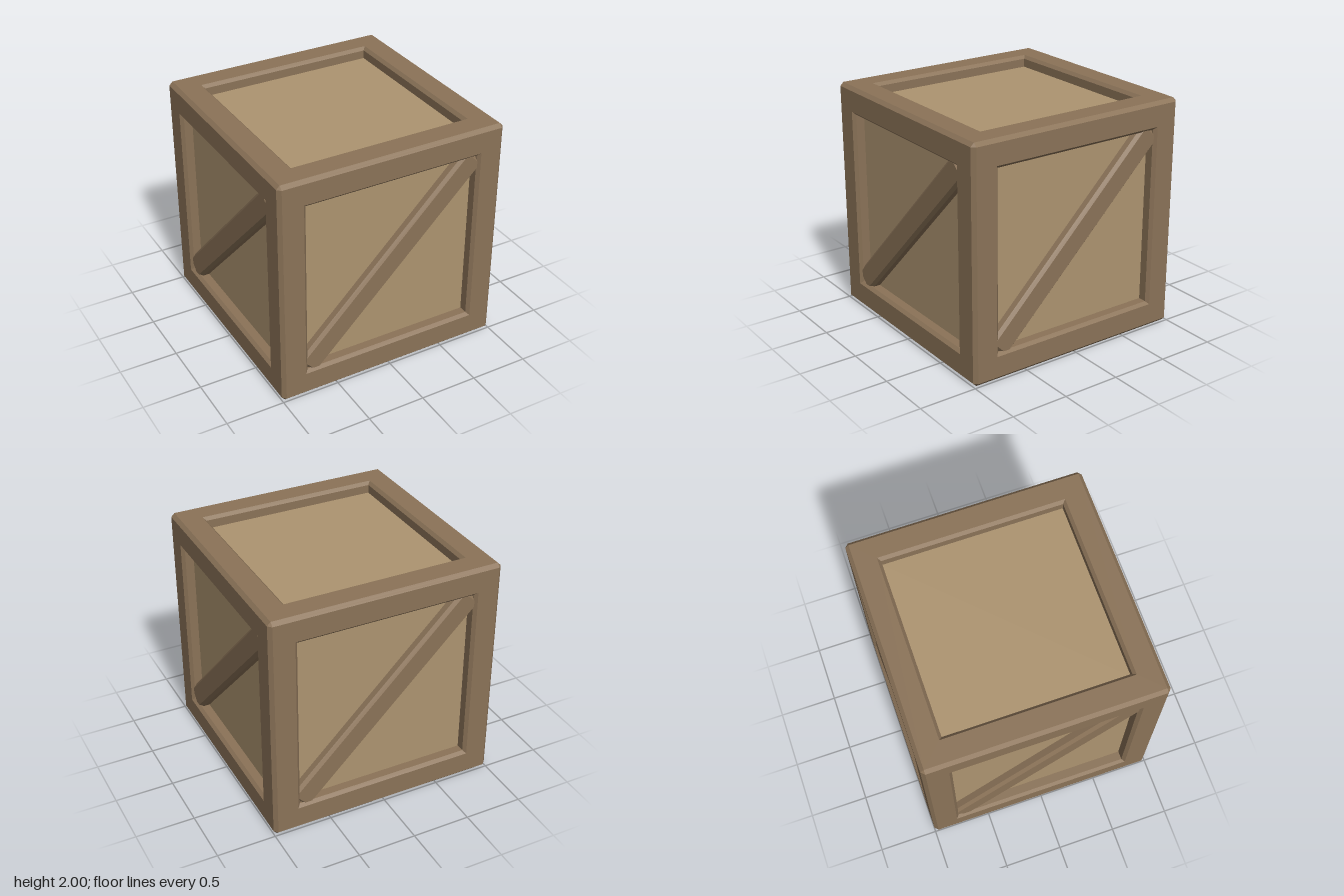
import * as THREE from 'three';

const frameWood = new THREE.MeshStandardMaterial({ name: 'frameWood', color: 0x8b7358 });
const panelWood = new THREE.MeshStandardMaterial({ name: 'panelWood', color: 0xad9470 });

// One face of the frame: a chamfered square ring, mitred at its corners
function frameSideGeometry() {
  // [half length, half height, depth] from the outer edge inwards
  const rows = [
    [0.97, 0.985, 0.985],
    [0.97, 0.97, 1],
    [0.79, 0.79, 1],
    [0.765, 0.765, 0.973],
    [0.765, 0.765, 0.89],
  ];
  const points = [];
  const quad = (a, b, c, d) => points.push(...[a, b, c, a, c, d].map((p) => new THREE.Vector3(...p)));
  for (let i = 0; i < rows.length - 1; i++) {
    const [la, ha, za] = rows[i];
    const [lb, hb, zb] = rows[i + 1];
    quad([-la, ha, za], [-lb, hb, zb], [lb, hb, zb], [la, ha, za]);
  }
  // this face's share of the cut corner
  quad([0.97, 0.97, 1], [0.985, 0.97, 0.985], [0.98, 0.98, 0.98], [0.97, 0.985, 0.985]);

  // repeat the rail around the square
  const axis = new THREE.Vector3(0, 0, 1);
  const all = [];
  for (let k = 0; k < 4; k++) {
    all.push(...points.map((p) => p.clone().applyAxisAngle(axis, (k * Math.PI) / 2)));
  }
  const geometry = new THREE.BufferGeometry().setFromPoints(all);
  geometry.computeVertexNormals();
  return geometry;
}

// Diagonal plank with chamfered edges, its front face at z = 0.98
function braceGeometry() {
  const l = 1.05, w = 0.08, bevel = 0.026, depth = 0.07;
  const shape = new THREE.Shape();
  shape.moveTo(-l, -w);
  shape.lineTo(l, -w);
  shape.lineTo(l, w);
  shape.lineTo(-l, w);
  shape.closePath();
  const geometry = new THREE.ExtrudeGeometry(shape, {
    depth, bevelEnabled: true, bevelSegments: 1, bevelSize: bevel, bevelThickness: bevel,
  });
  geometry.translate(0, 0, 0.98 - depth - bevel);
  geometry.rotateZ(Math.PI / 4);
  return geometry;
}

export function createModel() {
  const crate = new THREE.Group();
  crate.name = 'crate';

  const add = (name, geometry, material, rx = 0, ry = 0) => {
    const mesh = new THREE.Mesh(geometry, material);
    mesh.name = name;
    mesh.rotation.set(rx, ry, 0);
    mesh.position.y = 1;
    crate.add(mesh);
  };

  // recessed panels
  add('panels', new THREE.BoxGeometry(1.8, 1.8, 1.8), panelWood);

  // four walls, each with a brace
  const side = frameSideGeometry();
  const brace = braceGeometry();
  ['front', 'left', 'back', 'right'].forEach((name, i) => {
    add(name + 'Frame', side, frameWood, 0, (i * Math.PI) / 2);
    add(name + 'Brace', brace, frameWood, 0, (i * Math.PI) / 2);
  });

  // lid and base
  add('topFrame', side, frameWood, -Math.PI / 2);
  add('bottomFrame', side, frameWood, Math.PI / 2);

  return crate;
}
